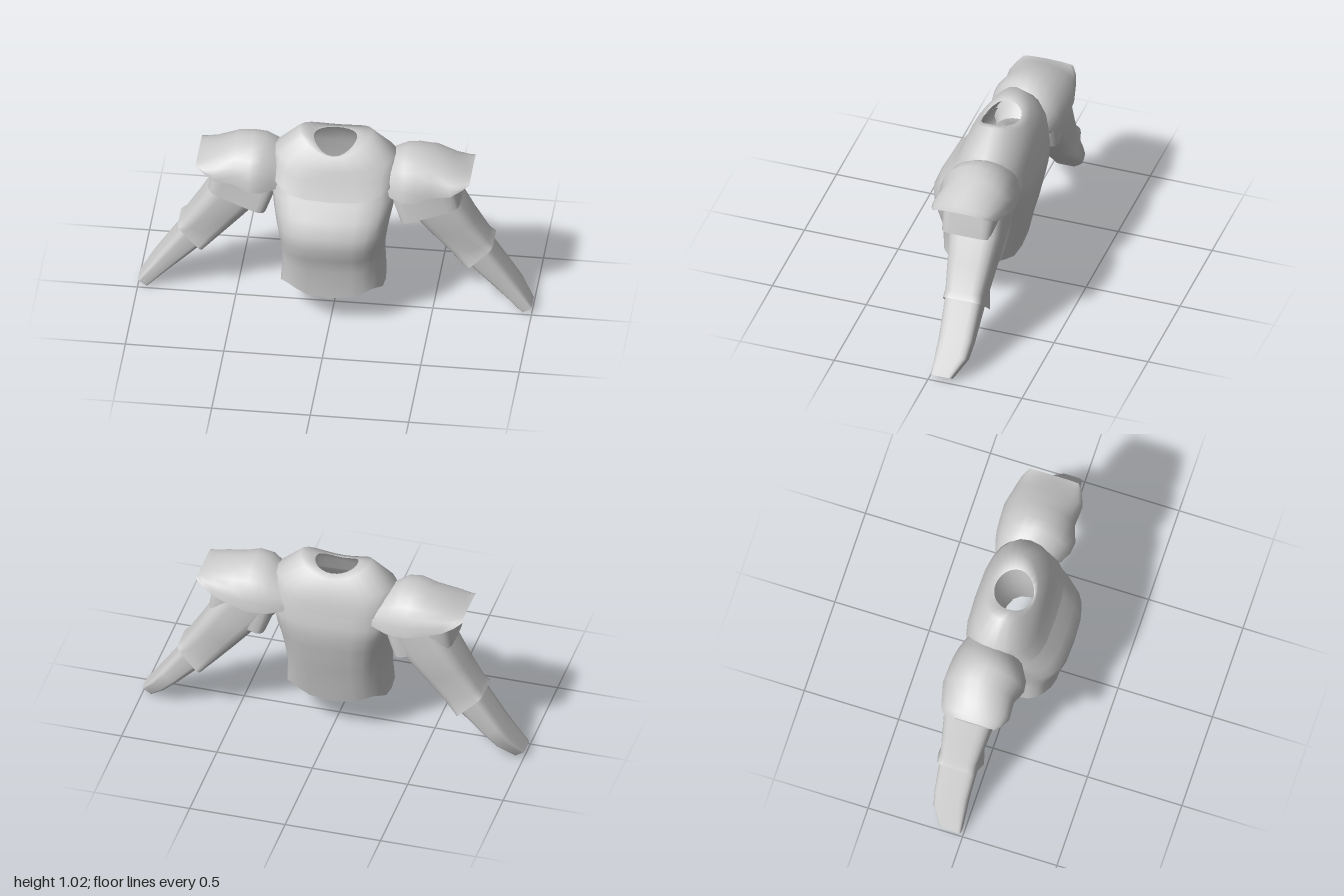
import * as THREE from 'three';

const steel = new THREE.MeshStandardMaterial({ color: 0xcccccc, side: THREE.DoubleSide });
steel.name = 'plain grey';

const SEG = 24;
const pow = (v, p) => Math.sign(v) * Math.abs(v) ** p;

// Skin a list of point rows into one smooth surface
function loft(name, rows, closed, flip) {
  const n = rows[0].length, pos = rows.flat(2), idx = [];
  for (let i = 0; i < rows.length - 1; i++) {
    for (let j = 0; j < (closed ? n : n - 1); j++) {
      const k = (j + 1) % n;
      const a = i * n + j, b = i * n + k, c = a + n, d = b + n;
      if (flip) idx.push(a, b, c, b, d, c);
      else idx.push(a, c, b, b, c, d);
    }
  }
  const g = new THREE.BufferGeometry();
  g.setAttribute('position', new THREE.Float32BufferAttribute(pos, 3));
  g.setIndex(idx);
  g.computeVertexNormals();
  const mesh = new THREE.Mesh(g, steel);
  mesh.name = name;
  return mesh;
}

// Rounded-box loop around the body; height may differ at side, front and back
function bodyRing([power, rx, zf, zb, ySide, yFront = ySide, yBack = ySide], wave = 0) {
  const e = 2 / power;
  return Array.from({ length: SEG }, (_, j) => {
    const a = (j / SEG) * Math.PI * 2, c = Math.cos(a), s = Math.sin(a);
    const y = ySide * c * c + (s > 0 ? yFront : yBack) * s * s - wave * Math.cos(4 * a);
    return [rx * pow(c, e), y, (zf + zb) / 2 + ((zf - zb) / 2) * pow(s, e)];
  });
}

// Loop around the arm from its outer and inner edge and its depth;
// taper makes the outer side narrower than the inner one
function armRing([power, ox, oy, ix, iy, zf, zb, taper = 0], side) {
  const e = 2 / power;
  return Array.from({ length: SEG }, (_, j) => {
    const a = (j / SEG) * Math.PI * 2, c = pow(Math.cos(a), e), s = pow(Math.sin(a), e);
    return [
      side * ((ox + ix) / 2 + ((ox - ix) / 2) * c),
      (oy + iy) / 2 + ((oy - iy) / 2) * c,
      (zf + zb) / 2 + ((zf - zb) / 2) * s * (1 - taper * c) / (1 + taper),
    ];
  });
}

// Open arch over the shoulder, front edge to back edge
function shoulderArch([x, top, low, zf, zb], side) {
  return Array.from({ length: 13 }, (_, j) => {
    const t = (j / 12) * Math.PI;
    return [
      side * x,
      low + (top - low) * Math.sin(t),
      (zf + zb) / 2 + ((zf - zb) / 2) * Math.cos(t),
    ];
  });
}

function createArm(side) {
  const arm = new THREE.Group();
  arm.name = side > 0 ? 'leftArm' : 'rightArm';
  const flip = side > 0;
  const tube = (name, rings) =>
    arm.add(loft(name, rings.map((r) => armRing(r, side)), true, flip));

  // Upper sleeve with the flared elbow cuff
  tube('upperSleeve', [
    [3.5, 0.50, 0.84, 0.27, 0.69, 0.04, -0.23],
    [3.5, 0.62, 0.67, 0.39, 0.56, 0.037, -0.238],
    [3.5, 0.70, 0.53, 0.49, 0.44, 0.02, -0.222],
    [4, 0.775, 0.41, 0.59, 0.325, 0.0, -0.205],
    [6, 0.80, 0.38, 0.668, 0.255, 0.02, -0.23, 0.12],
  ]);

  // Forearm narrowing to the wrist
  const wrist = [7, 1.0, 0.033, 0.95, 0.0, -0.012, -0.12];
  tube('forearm', [
    [4, 0.76, 0.40, 0.64, 0.30, -0.003, -0.2],
    [4, 0.79, 0.35, 0.68, 0.26, -0.005, -0.2],
    [4, 0.89, 0.20, 0.80, 0.14, -0.012, -0.192],
    [4.5, 0.94, 0.125, 0.87, 0.075, -0.012, -0.18],
    wrist,
  ]);
  tube('wristEnd', [wrist, [7, 0.975, 0.016, 0.975, 0.016, -0.066, -0.066]]);

  // Short flared sleeve under the shoulder plate
  tube('shortSleeve', [
    [4, 0.60, 0.83, 0.29, 0.76, 0.075, -0.225],
    [5, 0.62, 0.77, 0.285, 0.71, 0.085, -0.235, 0.06],
    [6, 0.64, 0.66, 0.34, 0.565, 0.103, -0.24, 0.14],
  ]);

  // Domed shoulder plate merging into the chest, with an upturned outer rim
  const arches = [
    [0.19, 0.82, 0.74, 0.04, -0.2],
    [0.25, 0.87, 0.735, 0.065, -0.23],
    [0.31, 0.905, 0.725, 0.10, -0.25],
    [0.36, 0.935, 0.725, 0.13, -0.26],
    [0.42, 0.94, 0.73, 0.138, -0.265],
    [0.50, 0.922, 0.755, 0.11, -0.265],
    [0.60, 0.88, 0.775, 0.118, -0.24],
    [0.66, 0.852, 0.805, 0.095, -0.22],
    [0.695, 0.84, 0.828, 0.07, -0.195],
  ];
  arm.add(loft('shoulderPlate', arches.map((r) => shoulderArch(r, side)), false, !flip));
  return arm;
}

export function createModel() {
  const model = new THREE.Group();
  model.name = 'upperBodyArmour';

  // Chest shell, open below with a wavy hem
  const chest = [
    [3.2, 0.265, 0.215, -0.16, 0.205, 0.19],
    [3.2, 0.255, 0.22, -0.19, 0.33],
    [3.2, 0.262, 0.25, -0.215, 0.42],
    [3.2, 0.272, 0.268, -0.23, 0.49],
    [3.2, 0.285, 0.27, -0.245, 0.56],
    [3.2, 0.302, 0.23, -0.26, 0.64],
    [3.2, 0.315, 0.175, -0.257, 0.71],
    [3.2, 0.305, 0.12, -0.237, 0.80],
  ].map((r, i) => bodyRing(r, i === 0 ? 0.022 : 0));
  model.add(loft('chestPlate', chest, true, false));

  // Collar mantle rising to two peaks beside the neck opening
  const collar = [
    [3.2, 0.312, 0.167, -0.25, 0.79, 0.725, 0.77],
    [2.9, 0.313, 0.123, -0.24, 0.85, 0.81, 0.83],
    [2.4, 0.305, 0.105, -0.225, 0.905, 0.87, 0.88],
    [2, 0.185, 0.065, -0.19, 1.02, 0.935, 0.96],
    [2, 0.11, 0.05, -0.15, 0.985, 0.93, 0.97],
  ].map((r) => bodyRing(r));
  model.add(loft('collar', collar, true, false));

  for (const side of [1, -1]) model.add(createArm(side));
  return model;
}
